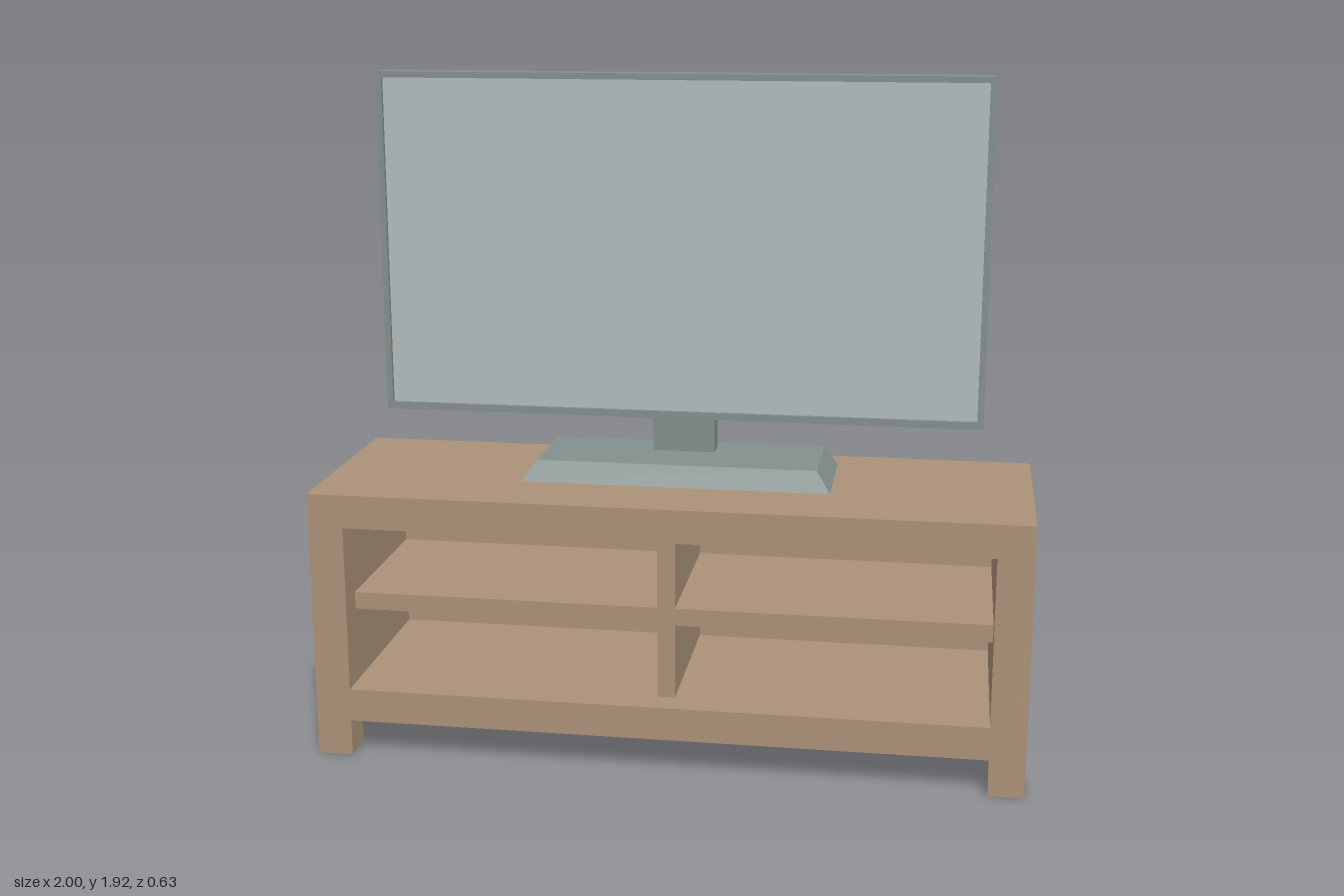
import * as THREE from 'three';

const mat = (name, color) => {
  const m = new THREE.MeshStandardMaterial({ color });
  m.name = name;
  return m;
};

export function createModel() {
  const wood = mat('wood', 0xac9279);
  const casing = mat('casing', 0x83908e);
  const glass = mat('screen', 0xb3bbbd);
  const model = new THREE.Group();
  model.name = 'televisionOnCabinet';

  const add = (parent, name, geometry, material) => {
    const mesh = new THREE.Mesh(geometry, material);
    mesh.name = name;
    parent.add(mesh);
    return mesh;
  };
  // Box given by its extents
  const box = (x0, x1, y0, y1, z0, z1) =>
    new THREE.BoxGeometry(x1 - x0, y1 - y0, z1 - z0)
      .translate((x0 + x1) / 2, (y0 + y1) / 2, (z0 + z1) / 2);
  const rect = (Type, hw, y0, y1) => new Type([
    new THREE.Vector2(-hw, y0), new THREE.Vector2(hw, y0),
    new THREE.Vector2(hw, y1), new THREE.Vector2(-hw, y1),
  ]);
  // Rectangular frame with an open middle, from z0 to z1
  const frame = (hw, y0, y1, innerHw, iy0, iy1, z0, z1) => {
    const shape = rect(THREE.Shape, hw, y0, y1);
    shape.holes.push(rect(THREE.Path, innerHw, iy0, iy1));
    return new THREE.ExtrudeGeometry(shape, { depth: z1 - z0, bevelEnabled: false }).translate(0, 0, z0);
  };

  // Cabinet: open carcass, back, shelf, dividers and feet
  const cabinet = new THREE.Group();
  cabinet.name = 'cabinet';
  model.add(cabinet);
  add(cabinet, 'carcass', frame(1, 0.105, 0.775, 0.9, 0.2, 0.68, -0.265, 0.315), wood);
  add(cabinet, 'backPanel', box(-1, 1, 0.105, 0.775, -0.315, -0.265), wood);
  add(cabinet, 'shelf', box(-0.9, 0.9, 0.415, 0.465, -0.265, 0.235), wood);
  add(cabinet, 'lowerDivider', box(-0.025, 0.025, 0.2, 0.415, -0.265, 0.235), wood);
  add(cabinet, 'upperDivider', box(-0.025, 0.025, 0.465, 0.68, -0.265, 0.235), wood);
  for (const sx of [-1, 1]) for (const sz of [-1, 1]) {
    add(cabinet, 'foot', new THREE.BoxGeometry(0.1, 0.105, 0.1), wood)
      .position.set(sx * 0.95, 0.0525, sz * 0.265);
  }

  // Television: casing with a slightly sunken screen
  const tv = new THREE.Group();
  tv.name = 'television';
  model.add(tv);
  add(tv, 'bezel', frame(0.855, 0.952, 1.917, 0.838, 0.972, 1.9, -0.01, 0.005), casing);
  add(tv, 'casingBack', box(-0.855, 0.855, 0.952, 1.917, -0.075, -0.01), casing);
  add(tv, 'screen', box(-0.838, 0.838, 0.972, 1.9, -0.01, -0.007), glass);

  // Stand base: a box whose top is drawn in to make sloping sides
  const base = box(-0.44, 0.44, 0.775, 0.83, -0.222, 0.098);
  const p = base.attributes.position;
  for (let i = 0; i < p.count; i++) {
    if (p.getY(i) < 0.8) continue;
    p.setX(i, Math.sign(p.getX(i)) * 0.4);
    p.setZ(i, p.getZ(i) > 0 ? 0.06 : -0.21);
  }
  base.computeVertexNormals();
  add(tv, 'standBase', base, casing);

  // Stand column: hooked side profile as (depth behind, height), turned across x
  const profile = new THREE.Shape([
    [0.097, 0.83], [0.163, 0.83], [0.163, 1.325], [0.12, 1.37],
    [0.075, 1.37], [0.075, 1.285], [0.097, 1.285],
  ].map(([d, y]) => new THREE.Vector2(d, y)));
  const column = new THREE.ExtrudeGeometry(profile, { depth: 0.18, bevelEnabled: false })
    .translate(0, 0, -0.09).rotateY(Math.PI / 2);
  add(tv, 'standColumn', column, casing);

  return model;
}
